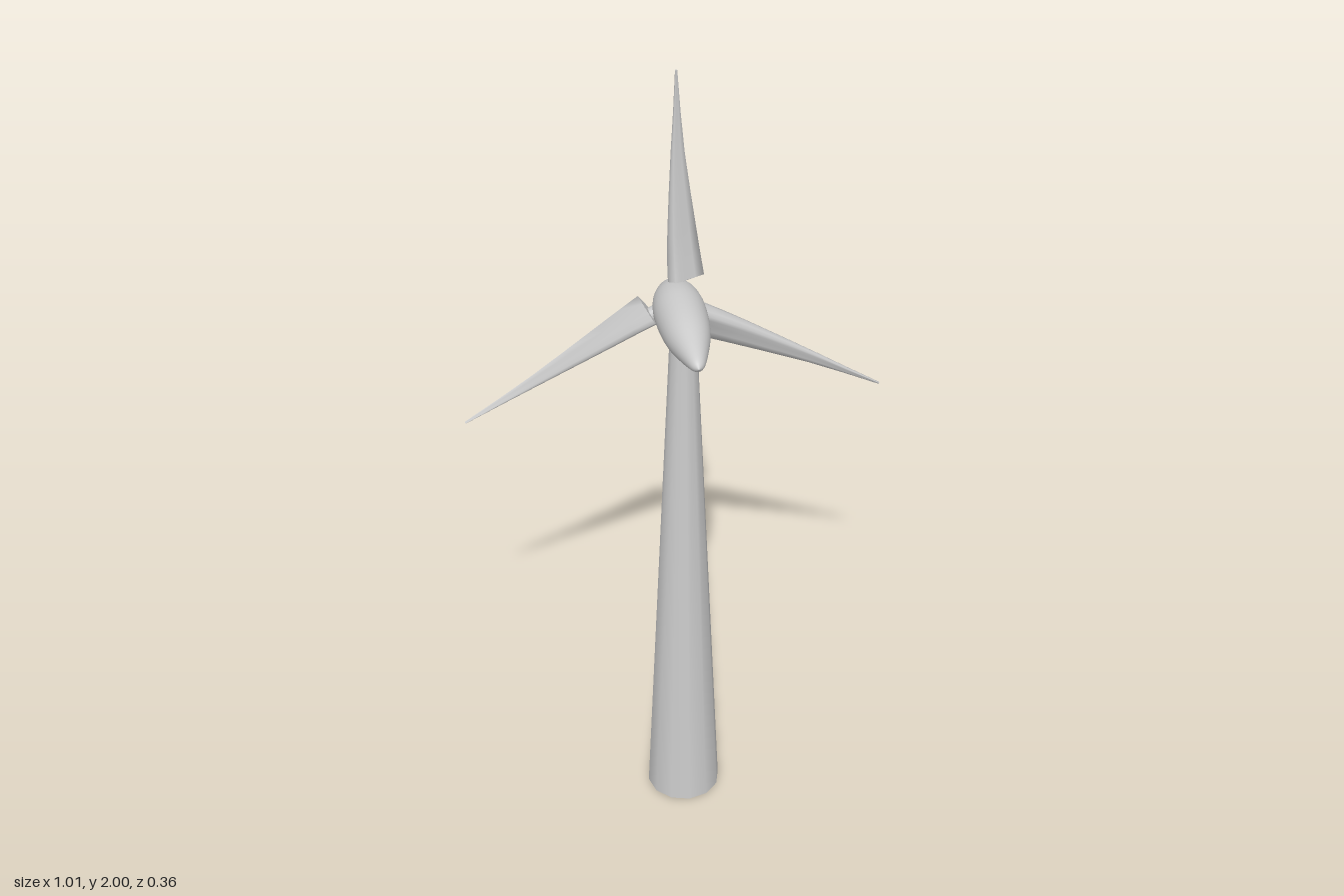
import * as THREE from 'three';

const HUB_Y = 1.417;
const ROTOR_Z = -0.122;

// Blade stations: radius from hub, leading x, trailing x, mid z, half thickness
const STATIONS = [
  [0.066, -0.020, 0.066, -0.115, 0.028],
  [0.120, -0.020, 0.058, -0.118, 0.022],
  [0.183, -0.019, 0.049, -0.120, 0.017],
  [0.283, -0.015, 0.035, -0.122, 0.011],
  [0.383, -0.010, 0.022, -0.124, 0.007],
  [0.483, -0.004, 0.013, -0.125, 0.005],
  [0.583, 0.001, 0.006, -0.126, 0.003],
];

// Closed teardrop section: u from leading (0) to trailing (1) edge, v in half thicknesses
const SECTION = [
  [1, 0], [0.75, 0.28], [0.5, 0.62], [0.3, 0.92], [0.17, 1], [0.06, 0.7],
  [0, 0], [0.04, -0.65], [0.15, -0.96], [0.3, -1], [0.5, -0.8], [0.75, -0.45],
];

function bladeGeometry() {
  const n = SECTION.length;
  const pos = [];
  const index = [];
  const ring = ([r, x0, x1, z, t]) => {
    for (const [u, v] of SECTION) pos.push(x0 + (x1 - x0) * u, r, z + v * t);
  };
  STATIONS.forEach(ring);
  for (let i = 0; i < STATIONS.length - 1; i++) {
    for (let j = 0; j < n; j++) {
      const a = i * n + j, b = i * n + (j + 1) % n;
      index.push(a, b, a + n, b, b + n, a + n);
    }
  }
  // separate end rings keep the cap edges sharp
  const last = STATIONS.length - 1;
  const root = pos.length / 3;
  ring(STATIONS[0]);
  const tip = pos.length / 3;
  ring(STATIONS[last]);
  for (let j = 1; j < n - 1; j++) {
    index.push(root, root + j + 1, root + j);
    index.push(tip, tip + j, tip + j + 1);
  }
  // sections run trailing -> front -> leading, so flip to face outward
  for (let k = 0; k < index.length; k += 3) {
    [index[k + 1], index[k + 2]] = [index[k + 2], index[k + 1]];
  }
  const g = new THREE.BufferGeometry();
  g.setAttribute('position', new THREE.Float32BufferAttribute(pos, 3));
  g.setIndex(index);
  g.computeVertexNormals();
  return g;
}

export function createModel() {
  const model = new THREE.Group();
  const grey = new THREE.MeshStandardMaterial({ color: 0xcccccc, side: THREE.DoubleSide });
  const add = (parent, name, geometry) => {
    const mesh = new THREE.Mesh(geometry, grey);
    mesh.name = name;
    parent.add(mesh);
    return mesh;
  };

  // Tapered tower, open at the foot
  const tower = add(model, 'tower', new THREE.CylinderGeometry(0.032, 0.093, 1.385, 12, 1, true));
  tower.position.set(0, 1.385 / 2, -0.02);

  // Teardrop nacelle turned along z, blunt end to the back
  const profile = new THREE.SplineCurve([
    [0, -0.183], [0.02, -0.176], [0.037, -0.16], [0.051, -0.13], [0.058, -0.1],
    [0.061, -0.06], [0.058, 0], [0.051, 0.05], [0.038, 0.1], [0.022, 0.15],
    [0.012, 0.17], [0, 0.18],
  ].map(([r, z]) => new THREE.Vector2(r, z))).getPoints(36);
  profile.forEach((p) => { p.x = Math.max(p.x, 0); });
  const nacelle = add(model, 'nacelle', new THREE.LatheGeometry(profile, 32));
  nacelle.rotation.x = Math.PI / 2;
  nacelle.position.y = HUB_Y;

  // Three blades, each on a short round neck
  const rotor = new THREE.Group();
  rotor.name = 'rotor';
  rotor.position.y = HUB_Y;
  model.add(rotor);
  const blade = bladeGeometry();
  const neck = new THREE.CylinderGeometry(0.017, 0.017, 0.05, 16);
  neck.translate(0, 0.045, ROTOR_Z);
  for (let i = 0; i < 3; i++) {
    const arm = new THREE.Group();
    arm.name = 'bladeArm' + (i + 1);
    arm.rotation.z = (i * Math.PI * 2) / 3;
    add(arm, 'blade', blade);
    add(arm, 'bladeNeck', neck);
    rotor.add(arm);
  }
  return model;
}
